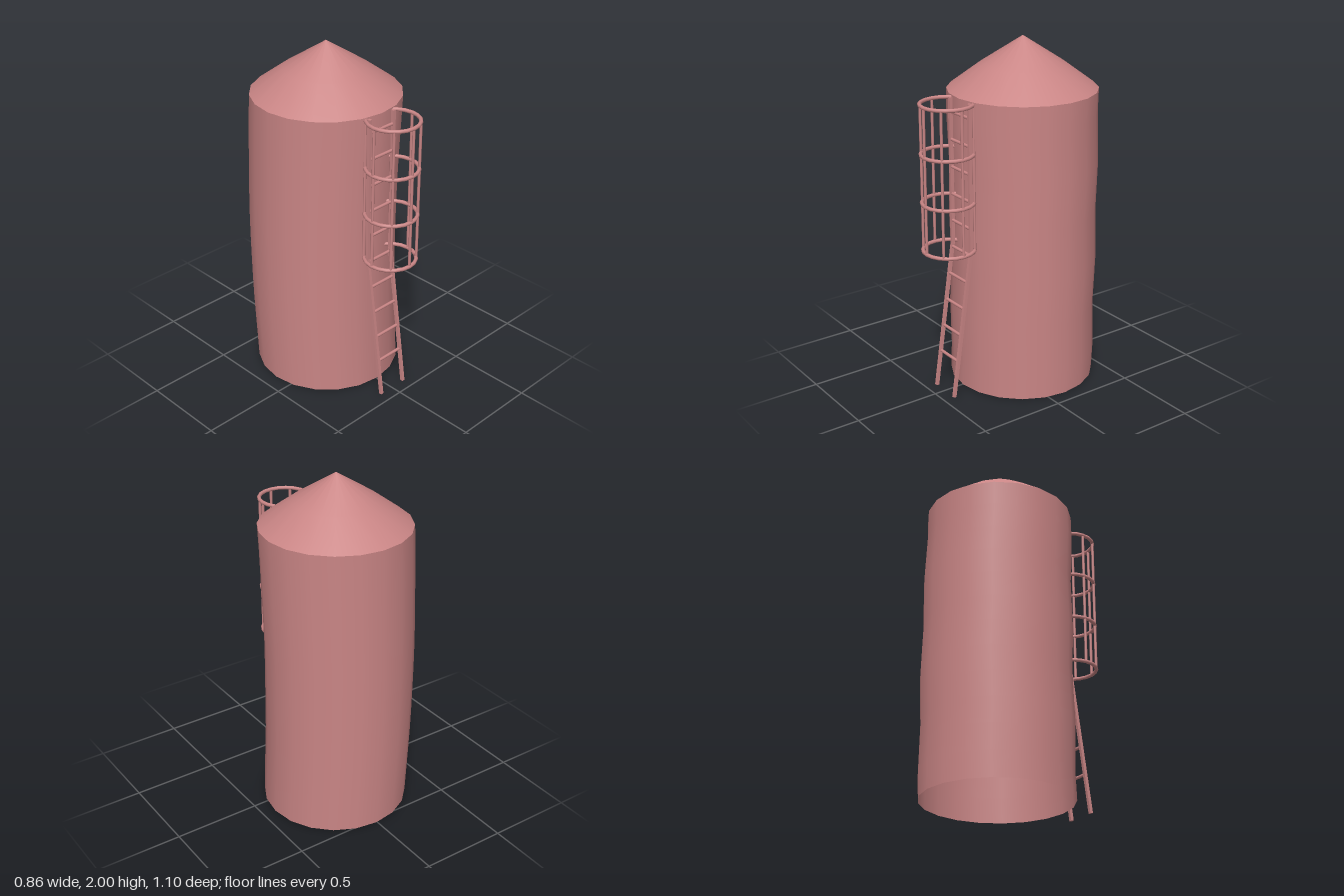
import * as THREE from 'three';

const CX = 0.005, CZ = -0.11; // tank axis
const RADIUS = 0.42, WALL = 1.71;

export function createModel() {
  const group = new THREE.Group();
  group.name = 'siloWithLadder';
  const paint = new THREE.MeshStandardMaterial({ color: 0xc98585 });
  const sheet = new THREE.MeshStandardMaterial({ color: 0xc98585, side: THREE.DoubleSide });

  const add = (name, geometry, material = paint, parent = group) => {
    const mesh = new THREE.Mesh(geometry, material);
    mesh.name = name;
    parent.add(mesh);
    return mesh;
  };

  // Straight bar between two points; four sides gives a square section
  const bar = (name, a, b, radius, sides, parent) => {
    const dir = b.clone().sub(a);
    const geo = new THREE.CylinderGeometry(radius, radius, dir.length(), sides);
    if (sides === 4) geo.rotateY(Math.PI / 4);
    const mesh = add(name, sides === 4 ? geo.toNonIndexed() : geo, paint, parent);
    if (sides === 4) mesh.geometry.computeVertexNormals();
    mesh.position.copy(a).add(b).multiplyScalar(0.5);
    mesh.quaternion.setFromUnitVectors(new THREE.Vector3(0, 1, 0), dir.normalize());
    return mesh;
  };
  const V = (x, y, z) => new THREE.Vector3(x, y, z);

  // Open-bottomed wall, slightly bowed towards the back with small dents
  const wall = new THREE.CylinderGeometry(RADIUS, RADIUS, WALL, 20, 12, true);
  wall.translate(0, WALL / 2, 0);
  const p = wall.attributes.position;
  for (let i = 0; i < p.count; i++) {
    const t = p.getY(i) / WALL;
    const ripple = 0.003 * Math.sin(t * Math.PI * 6);
    const bow = Math.sin(t * Math.PI);
    p.setX(i, p.getX(i) - 0.015 * bow + ripple);
    p.setZ(i, p.getZ(i) - 0.018 * bow - ripple);
  }
  add('tankWall', wall, sheet).position.set(CX, 0, CZ);

  // Gently convex conical roof
  const roof = new THREE.LatheGeometry([
    new THREE.Vector2(RADIUS, WALL),
    new THREE.Vector2(0.238, 1.845),
    new THREE.Vector2(0, 2),
  ], 20);
  add('roof', roof, sheet).position.set(CX, 0, CZ);

  // Ladder: sloping lower run, upright upper run
  const ladder = new THREE.Group();
  ladder.name = 'ladder';
  group.add(ladder);
  const bendY = 0.86, bendZ = 0.307, footZ = 0.432;
  const railZ = (y) => (y < bendY ? THREE.MathUtils.lerp(footZ, bendZ, y / bendY) : bendZ);
  for (const side of [-1, 1]) {
    const x = CX + side * 0.09;
    bar('lowerRail', V(x, 0, footZ), V(x, bendY, bendZ), 0.0125, 4, ladder);
    bar('upperRail', V(x, bendY, bendZ), V(x, 1.7, bendZ), 0.0125, 4, ladder);
  }
  for (let i = 0; i < 10; i++) {
    const y = 0.215 + i * 0.1563;
    bar('rung', V(CX - 0.085, y, railZ(y)), V(CX + 0.085, y, railZ(y)), 0.009, 8, ladder);
  }

  // Safety cage: hoops running into the wall, joined by upright bars
  const cage = new THREE.Group();
  cage.name = 'safetyCage';
  cage.position.set(CX, 0, 0.39);
  group.add(cage);
  const hoopR = 0.144;
  const hoopGeo = new THREE.TorusGeometry(hoopR, 0.011, 8, 20).rotateX(Math.PI / 2);
  for (let i = 0; i < 4; i++) {
    add('hoop', hoopGeo, paint, cage).position.y = 0.87 + i * 0.275;
  }
  for (let i = -3; i <= 3; i++) {
    const a = (i * Math.PI) / 4;
    const x = hoopR * Math.sin(a), z = hoopR * Math.cos(a);
    bar('cageBar', V(x, 0.87, z), V(x, 1.695, z), 0.008, 8, cage);
  }
  return group;
}
